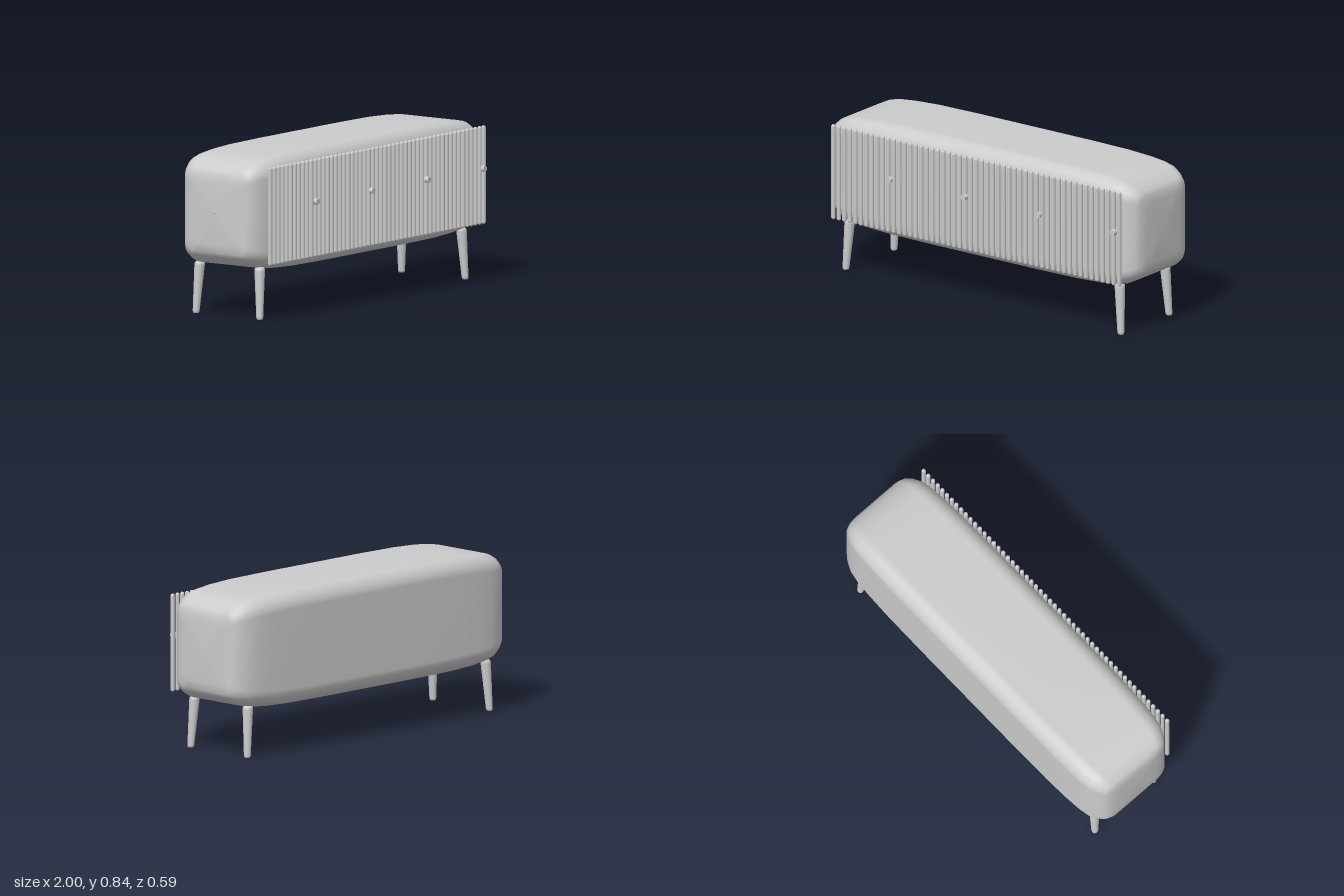
import * as THREE from 'three';

const material = new THREE.MeshStandardMaterial({ color: 0xcccccc });

function addMesh(parent, name, geometry, x = 0, y = 0, z = 0) {
  const mesh = new THREE.Mesh(geometry, material);
  mesh.name = name;
  mesh.position.set(x, y, z);
  parent.add(mesh);
  return mesh;
}

// One rounded-rectangle ring of the cabinet, counter-clockwise in the z-y plane
function ring(x, halfDepth, halfHeight, radius) {
  const points = [];
  const steps = 6;
  for (let corner = 0; corner < 4; corner++) {
    const sz = corner === 0 || corner === 3 ? 1 : -1;
    const sy = corner < 2 ? 1 : -1;
    for (let k = 0; k <= steps; k++) {
      const a = (corner + k / steps) * Math.PI / 2;
      points.push([
        x,
        sy * (halfHeight - radius) + radius * Math.sin(a),
        sz * (halfDepth - radius) + radius * Math.cos(a),
      ]);
    }
  }
  return points;
}

// Pillow-like body lofted through rings along x
function bodyGeometry() {
  // x, half depth, half height, corner radius
  const half = [
    [0, 0.2725, 0.3, 0.09],
    [0.35, 0.2725, 0.3, 0.09],
    [0.6, 0.271, 0.298, 0.09],
    [0.75, 0.267, 0.292, 0.09],
    [0.84, 0.261, 0.284, 0.088],
    [0.9, 0.251, 0.272, 0.082],
    [0.945, 0.23, 0.25, 0.07],
    [0.975, 0.208, 0.226, 0.055],
    [0.99, 0.18, 0.205, 0.045],
    [0.998, 0.13, 0.16, 0.04],
    [1, 0.002, 0.002, 0.001],
  ];
  const mirrored = half.slice(1).reverse().map(([x, ...rest]) => [-x, ...rest]);
  const rings = [...mirrored, ...half].map((s) => ring(...s));
  const n = rings[0].length;
  const index = [];
  for (let i = 0; i < rings.length - 1; i++) {
    for (let j = 0; j < n; j++) {
      const a = i * n + j, b = i * n + (j + 1) % n;
      index.push(a, a + n, b + n, a, b + n, b);
    }
  }
  const geometry = new THREE.BufferGeometry();
  geometry.setAttribute('position', new THREE.Float32BufferAttribute(rings.flat(2), 3));
  geometry.setIndex(index);
  geometry.computeVertexNormals();
  return geometry;
}

// Tapered leg with softened ends, base on y = 0
function legGeometry() {
  const profile = [
    [0, 0], [0.011, 0.001], [0.016, 0.005], [0.018, 0.014],
    [0.027, 0.25], [0.026, 0.261], [0.02, 0.268], [0, 0.271],
  ].map(([r, y]) => new THREE.Vector2(r, y));
  return new THREE.LatheGeometry(profile, 20);
}

export function createModel() {
  const group = new THREE.Group();

  addMesh(group, 'cabinetBody', bodyGeometry(), 0, 0.542, -0.0175);

  // Row of round vertical slats across the front
  const slats = new THREE.Group();
  slats.name = 'frontSlats';
  group.add(slats);
  const count = 53;
  const slat = new THREE.CapsuleGeometry(0.0115, 0.487, 4, 12);
  for (let i = 0; i < count; i++) {
    const x = THREE.MathUtils.lerp(-0.911, 0.93, i / (count - 1));
    addMesh(slats, 'slat', slat, x, 0.542, 0.2665);
  }

  // Door knobs
  const knob = new THREE.CylinderGeometry(0.0155, 0.0155, 0.025, 20);
  knob.rotateX(Math.PI / 2);
  for (let i = 0; i < 4; i++) {
    addMesh(group, 'knob', knob, -0.535 + i * 0.48, 0.577, 0.2825);
  }

  // Four splayed legs, sheared outward toward the floor
  for (const sz of [1, -1]) {
    for (const sx of [1, -1]) {
      const leg = legGeometry();
      const p = leg.attributes.position;
      for (let i = 0; i < p.count; i++) {
        const t = p.getY(i) / 0.27;
        p.setX(i, p.getX(i) - sx * 0.017 * t);
        p.setZ(i, p.getZ(i) - sz * 0.0125 * t);
      }
      leg.computeVertexNormals();
      const name = (sz > 0 ? 'front' : 'back') + (sx > 0 ? 'Left' : 'Right') + 'Leg';
      addMesh(group, name, leg, -0.006 + sx * 0.886, 0, -0.015 + sz * 0.202);
    }
  }

  return group;
}
